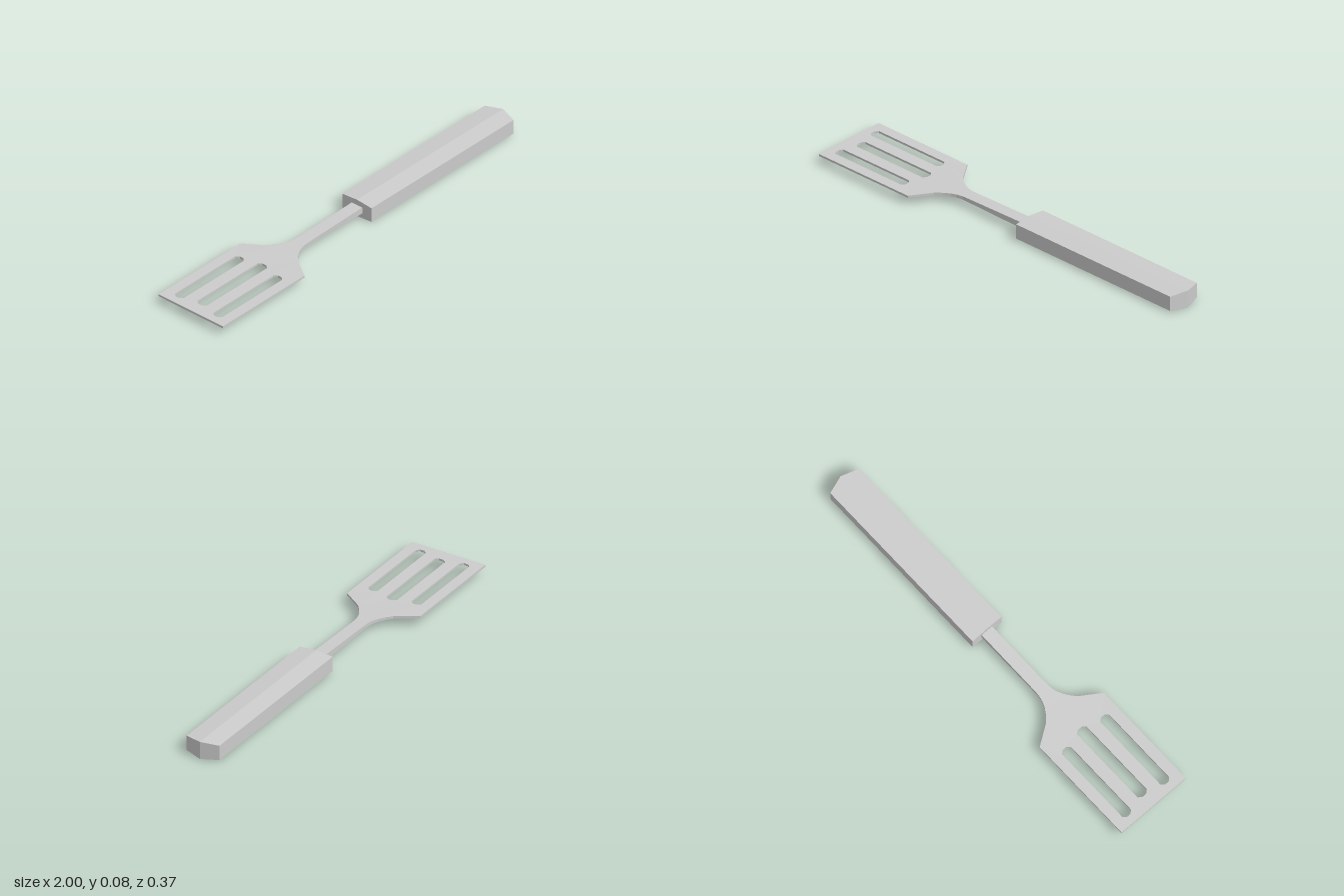
import * as THREE from 'three';

const MID_Y = 0.042;
const material = () => new THREE.MeshStandardMaterial({ color: 0xcccccc, flatShading: true });

// Slot outline with clipped, nearly round ends
function slot(x0, x1, z, half) {
  const tip = half * 0.4, inset = 0.013;
  return new THREE.Path([
    [x0, z - tip], [x0 + inset, z - half], [x1 - inset, z - half], [x1, z - tip],
    [x1, z + tip], [x1 - inset, z + half], [x0 + inset, z + half], [x0, z + tip],
  ].map(([x, y]) => new THREE.Vector2(x, y)));
}

// Slotted blade flowing through the shoulders into a stem that thickens toward the handle
function createBladeAndStem() {
  const side = [[-1, 0.185], [-0.477, 0.185], [-0.413, 0.09], [-0.385, 0.066],
    [-0.355, 0.047], [-0.33, 0.037], [-0.3, 0.031], [-0.27, 0.03], [0.1, 0.03]];
  const mirrored = side.map(([x, z]) => [x, -z]);
  const outline = [...mirrored, ...side.reverse()];
  const shape = new THREE.Shape(outline.map(([x, z]) => new THREE.Vector2(x, z)));
  shape.holes.push(
    slot(-0.963, -0.552, 0.11, 0.025),
    slot(-0.94, -0.528, 0, 0.027),
    slot(-0.963, -0.552, -0.11, 0.025),
  );
  const geometry = new THREE.ExtrudeGeometry(shape, { depth: 1, bevelEnabled: false });
  geometry.translate(0, 0, -0.5).rotateX(-Math.PI / 2);
  const p = geometry.attributes.position;
  for (let i = 0; i < p.count; i++) {
    const t = THREE.MathUtils.clamp((p.getX(i) + 0.477) / 0.542, 0, 1.1);
    p.setY(i, p.getY(i) * (0.01 + 0.02 * t));
  }
  geometry.computeVertexNormals();
  const mesh = new THREE.Mesh(geometry, material());
  mesh.name = 'bladeAndStem';
  mesh.position.y = MID_Y;
  return mesh;
}

// Six-sided grip: ridged along the middle, with a pointed far end
function createHandle() {
  const geometry = new THREE.BoxGeometry(0.935, 0.084, 0.166, 1, 1, 2);
  const p = geometry.attributes.position;
  for (let i = 0; i < p.count; i++) {
    if (Math.abs(p.getZ(i)) < 0.01) continue;
    p.setY(i, Math.sign(p.getY(i)) * 0.035);
    if (p.getX(i) > 0) p.setX(i, p.getX(i) - 0.026);
  }
  geometry.computeVertexNormals();
  const mesh = new THREE.Mesh(geometry, material());
  mesh.name = 'handle';
  mesh.position.set(0.5325, MID_Y, 0);
  return mesh;
}

export function createModel() {
  const group = new THREE.Group();
  group.name = 'spatula';
  group.add(createBladeAndStem(), createHandle());
  return group;
}
